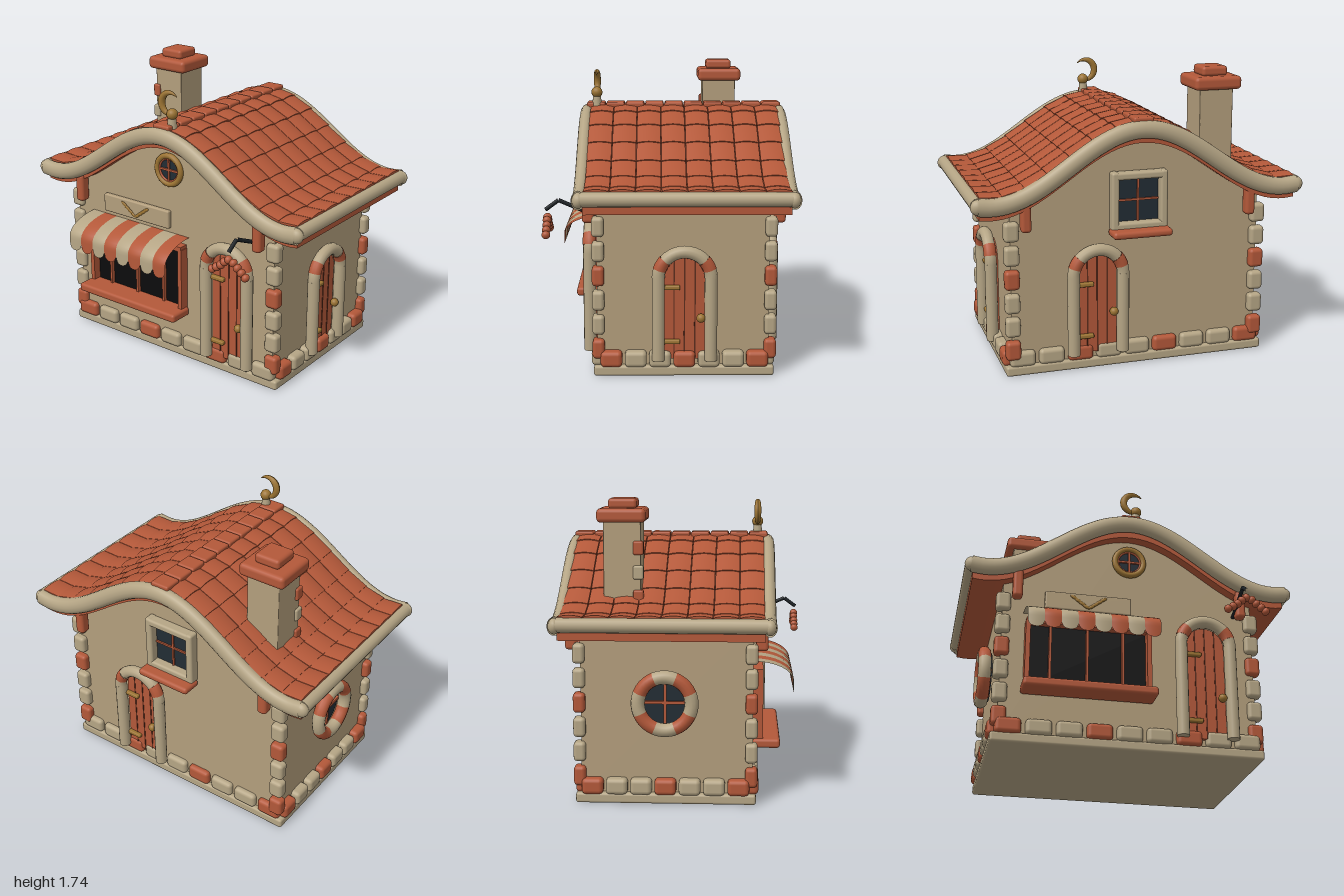
import * as THREE from 'three';
import { RoundedBoxGeometry } from 'three/addons/geometries/RoundedBoxGeometry.js';

const mat = (name, color, side = THREE.FrontSide) => {
  const m = new THREE.MeshStandardMaterial({ color, side });
  m.name = name;
  return m;
};

export function createModel() {
  const wall = mat('plaster', 0xb39e7c), stone = mat('pale stone', 0xb5a585, THREE.DoubleSide);
  const red = mat('terracotta', 0xb35839, THREE.DoubleSide), gap = mat('dark joint', 0x5c2c1c);
  const gold = mat('brass', 0x9c7433), black = mat('black', 0x0c0c0d), glass = mat('glass', 0x222c34);
  const iron = mat('iron', 0x1b2024);
  const model = new THREE.Group();
  model.name = 'cottage';
  const FRONT = 0.41, BACK = -0.575, SIDE = 0.76, MID = -0.09;

  const add = (parent, name, geo, m, x = 0, y = 0, z = 0) => {
    const mesh = new THREE.Mesh(geo, m);
    mesh.name = name;
    mesh.position.set(x, y, z);
    parent.add(mesh);
    return mesh;
  };
  const block = (p, name, m, w, h, d, x, y, z, r = 0.02) =>
    add(p, name, new RoundedBoxGeometry(w, h, d, 2, Math.min(r, w / 2.1, h / 2.1, d / 2.1)), m, x, y, z);
  const box = (p, name, m, w, h, d, x, y, z) => add(p, name, new THREE.BoxGeometry(w, h, d), m, x, y, z);
  const ball = (p, name, m, r, x, y, z) => add(p, name, new THREE.SphereGeometry(r, 16, 12), m, x, y, z);
  const group = (name, x = 0, y = 0, z = 0, ry = 0) => {
    const g = new THREE.Group();
    g.name = name;
    g.position.set(x, y, z);
    g.rotation.y = ry;
    model.add(g);
    return g;
  };
  const ringPart = (p, name, m, R, r, from, to, y, z) => {
    const t = add(p, name, new THREE.TorusGeometry(R, r, 12, Math.max(4, Math.ceil((to - from) / 10)),
      THREE.MathUtils.degToRad(to - from)), m, 0, y, z);
    t.rotation.z = THREE.MathUtils.degToRad(from);
  };

  // Swooping roof line shared by walls, tiles and trim
  const roofY = x => 1.05 + 0.195 * (1 + Math.cos(Math.PI * x / 0.88));
  const roofLine = (half, dy, n = 40) => Array.from({ length: n + 1 }, (_, i) => {
    const x = half * (2 * i / n - 1);
    return new THREE.Vector2(x, roofY(x) + dy);
  });
  const slab = (pts, z0, z1) => new THREE.ExtrudeGeometry(new THREE.Shape(pts),
    { depth: z1 - z0, bevelEnabled: false }).translate(0, 0, z0);

  // Plinth and gabled walls
  block(model, 'plinth', stone, 1.6, 0.06, 1.037, 0, 0.03, -0.088, 0.015);
  add(model, 'walls', slab([new THREE.Vector2(-SIDE, 0.04), new THREE.Vector2(SIDE, 0.04),
    ...roofLine(SIDE, -0.03).reverse()], BACK, FRONT), wall);

  // Foundation stones
  for (let i = 0; i < 9; i++) for (const z of [FRONT, BACK])
    block(model, 'foundationStone', i % 3 ? stone : red, 0.152, 0.095, 0.07, -0.7 + i * 0.175, 0.1, z, 0.025);
  for (let i = 0; i < 7; i++) for (const s of [-1, 1])
    block(model, 'foundationStone', i % 3 ? stone : red, 0.09, 0.095, 0.125, s * 0.77, 0.1, MID + (3 - i) * 0.14, 0.025);

  // Corner stones and eave brackets
  for (const s of [-1, 1]) for (const [z, out] of [[0.403, 0.46], [-0.583, -0.635]]) {
    for (let i = 0; i < 6; i++)
      block(model, 'cornerStone', i % 3 ? stone : red, 0.088, 0.115, 0.07, s * 0.755, 0.158 + i * 0.143, z, 0.022);
    block(model, 'eaveBracket', red, 0.06, 0.18, 0.07, s * 0.68, 0.97, out);
  }

  // Roof deck with dark underlay
  add(model, 'roofDeck', slab([...roofLine(0.95, -0.08), ...roofLine(0.95, 0.03).reverse()], -0.675, 0.475), red);
  add(model, 'roofUnderlay', slab([...roofLine(0.93, 0.028), ...roofLine(0.93, 0.036).reverse()], -0.67, 0.47), gap);

  // Overlapping bulged tiles, one half mirrored
  const COURSES = 7, COLS = 8;
  for (const s of [-1, 1]) {
    const half = group(s < 0 ? 'rightRoofTiles' : 'leftRoofTiles');
    half.scale.x = s;
    for (let k = 0; k < COURSES; k++) {
      const xa = 0.03 + 0.915 * k / COURSES, xb = 0.03 + 0.915 * (k + 1) / COURSES;
      const dx = xb - xa, dy = roofY(xb) - roofY(xa);
      const geo = new THREE.BoxGeometry(Math.hypot(dx, dy) * 1.04, 0.02, 0.14, 1, 1, 6);
      const p = geo.attributes.position;
      for (let i = 0; i < p.count; i++) p.setY(i, p.getY(i) + 0.01 * (1 - (p.getZ(i) / 0.07) ** 2));
      geo.computeVertexNormals();
      for (let c = 0; c < COLS; c++) {
        const t = add(half, 'roofTile', geo, red, (xa + xb) / 2, (roofY(xa) + roofY(xb)) / 2 + 0.04, -0.605 + c * 0.1437);
        t.rotation.z = Math.atan2(dy, dx) + 0.04;
      }
    }
  }
  for (let i = 0; i < 10; i++)
    block(model, 'ridgeTile', red, 0.12, 0.04, 0.114, 0, 1.49, 0.44 - i * 0.12, 0.012);

  // Rolled gable trim and eave rolls
  for (const z of [0.497, -0.687]) {
    const path = new THREE.CatmullRomCurve3(roofLine(0.96, 0, 24).map(v => new THREE.Vector3(v.x, v.y, 0)));
    const g = group('gableTrim', 0, 0, z);
    g.scale.z = 0.78;
    add(g, 'gableRoll', new THREE.TubeGeometry(path, 64, 0.052, 14), stone);
    for (const s of [-1, 1]) ball(g, 'gableRollEnd', stone, 0.045, s * 0.955, roofY(0.96), 0);
  }
  for (const s of [-1, 1])
    add(model, 'eaveRoll', new THREE.CylinderGeometry(0.042, 0.042, 1.16, 14), stone, s * 0.955, 1.063, -0.095)
      .rotation.x = Math.PI / 2;

  // Chimney
  block(model, 'chimneyShaft', wall, 0.21, 0.6, 0.215, -0.535, 1.33, -0.343, 0.005);
  block(model, 'chimneyCap', red, 0.295, 0.08, 0.28, -0.537, 1.645, -0.345, 0.025);
  block(model, 'chimneyTop', red, 0.16, 0.06, 0.165, -0.535, 1.71, -0.342, 0.02);
  [1.18, 1.32, 1.46].forEach((y, i) =>
    block(model, 'chimneyStone', i === 1 ? stone : red, 0.05, 0.08, 0.06, -0.63, y, -0.25, 0.012));

  // Crescent finial
  const finial = group('finial', 0.03, 0, 0.435);
  add(finial, 'finialPost', new THREE.CylinderGeometry(0.022, 0.03, 0.09, 12), stone, 0.01, 1.53, 0);
  ball(finial, 'finialBall', gold, 0.034, 0.012, 1.57, 0);
  const moon = new THREE.TorusGeometry(0.066, 0.02, 10, 28, 4.5), mp = moon.attributes.position;
  for (let i = 0; i < mp.count; i++) {
    const x = mp.getX(i), y = mp.getY(i), R = Math.hypot(x, y), a = (Math.atan2(y, x) + 2 * Math.PI) % (2 * Math.PI);
    const f = 0.1 + Math.sin(Math.PI * Math.min(1, a / 4.5)), R2 = 0.066 + (R - 0.066) * f;
    mp.setXYZ(i, x * R2 / R, y * R2 / R, mp.getZ(i) * f);
  }
  moon.computeVertexNormals();
  add(finial, 'crescent', moon, gold, 0, 1.63, 0).rotation.z = 0.75;

  // Arched doors: local z = 0 is the wall face
  const door = (name, x, z, ry, spring) => {
    const g = group(name, x, 0, z, ry), w = 0.118;
    const s = new THREE.Shape().moveTo(-w, 0.1).lineTo(w, 0.1).lineTo(w, spring);
    s.absarc(0, spring, w, 0, Math.PI, false);
    add(g, 'doorPanel', new THREE.ExtrudeGeometry(s, { depth: 0.025, bevelEnabled: false, curveSegments: 16 }), red);
    for (const px of [-0.06, 0, 0.06]) {
      const top = spring + Math.sqrt(w * w - px * px);
      box(g, 'plankJoint', gap, 0.008, top - 0.1, 0.004, px, (top + 0.1) / 2, 0.026);
    }
    for (const sx of [-1, 1])
      add(g, 'doorJamb', new THREE.CylinderGeometry(0.037, 0.037, spring - 0.1, 14), stone, sx * 0.15, (spring + 0.1) / 2, 0.05);
    [[0, 18], [18, 42], [42, 138], [138, 162], [162, 180]].forEach(([a, b], i) =>
      ringPart(g, 'doorArch', i % 2 ? red : stone, 0.15, i % 2 ? 0.039 : 0.037, a, b, spring, 0.05));
    for (const y of [0.205, spring - 0.06]) block(g, 'hinge', gold, 0.1, 0.026, 0.03, -0.075, y, 0.035, 0.008);
    ball(g, 'doorKnob', gold, 0.026, 0.093, 0.35, 0.055);
  };
  door('frontDoor', 0.455, FRONT, 0, 0.685);
  door('leftDoor', SIDE, MID, Math.PI / 2, 0.585);
  door('backDoor', 0.25, BACK, Math.PI, 0.585);

  // Round windows
  const disc = (p, r, y, z) => add(p, 'pane', new THREE.CircleGeometry(r, 32), glass, 0, y, z);
  const attic = group('atticWindow', 0, 0, FRONT);
  disc(attic, 0.09, 1.215, 0.008);
  ringPart(attic, 'windowRing', gold, 0.088, 0.018, 0, 360, 1.215, 0.012);
  ringPart(attic, 'innerRing', red, 0.07, 0.007, 0, 360, 1.215, 0.012);
  box(attic, 'glazingBar', red, 0.15, 0.012, 0.015, 0, 1.215, 0.012);
  box(attic, 'glazingBar', red, 0.012, 0.15, 0.015, 0, 1.215, 0.012);
  const round = group('sideWindow', -SIDE, 0, MID, -Math.PI / 2);
  disc(round, 0.15, 0.595, 0.01);
  for (let i = 0; i < 8; i++)
    ringPart(round, 'windowSurround', i % 2 ? red : stone, 0.153, 0.04, i * 45 - 22.5, i * 45 + 22.5, 0.595, 0.055);
  box(round, 'glazingBar', red, 0.26, 0.016, 0.02, 0, 0.595, 0.02);
  box(round, 'glazingBar', red, 0.016, 0.26, 0.02, 0, 0.595, 0.02);

  // Square back window
  const rear = group('backWindow', 0, 1.01, BACK, Math.PI);
  box(rear, 'pane', glass, 0.29, 0.29, 0.008, 0, 0, 0.006);
  for (const s of [-1, 1]) {
    block(rear, 'windowSide', stone, 0.045, 0.35, 0.07, s * 0.148, 0, 0.03, 0.015);
    block(rear, 'windowRail', stone, 0.34, 0.045, 0.07, 0, s * 0.15, 0.03, 0.015);
  }
  box(rear, 'glazingBar', red, 0.012, 0.27, 0.015, 0, 0, 0.012);
  box(rear, 'glazingBar', red, 0.27, 0.012, 0.015, 0, 0, 0.012);
  block(rear, 'windowSill', red, 0.36, 0.045, 0.13, 0, -0.183, 0.07);

  // Shop window
  const shop = group('shopWindow', -0.25, 0, FRONT);
  box(shop, 'shopOpening', black, 0.72, 0.4, 0.008, 0, 0.54, 0.005);
  for (const x of [-0.36, 0.36]) box(shop, 'shopPost', red, 0.028, 0.4, 0.06, x, 0.54, 0.03);
  for (const x of [-0.225, -0.006, 0.207]) box(shop, 'shopMullion', red, 0.015, 0.4, 0.03, x, 0.54, 0.018);
  box(shop, 'shopHead', red, 0.74, 0.03, 0.06, 0, 0.745, 0.03);
  block(shop, 'shopSill', red, 0.78, 0.055, 0.16, 0, 0.322, 0.08, 0.018);

  // Striped awning with scalloped hem
  for (let i = 0; i < 8; i++) {
    const geo = new THREE.PlaneGeometry(0.097, 1, 10, 14), p = geo.attributes.position;
    for (let j = 0; j < p.count; j++) {
      const t = 0.5 - p.getY(j), a = Math.min(1, t / 0.75) * Math.PI / 2, u = p.getX(j) / 0.0485;
      const drop = Math.max(0, (t - 0.75) / 0.25) * (0.04 + 0.04 * Math.sqrt(Math.max(0, 1 - u * u)));
      p.setXYZ(j, p.getX(j), 0.81 - 0.11 * (1 - Math.cos(a)) - drop, FRONT + 0.23 * Math.sin(a) + 0.008 * (1 - u * u) * t);
    }
    geo.computeVertexNormals();
    add(model, 'awningStripe', geo, i % 2 ? red : stone, -0.587 + i * 0.097);
  }

  // Sign board with a plain leaf ornament
  block(model, 'signBoard', wall, 0.52, 0.115, 0.035, -0.253, 0.9, FRONT + 0.018, 0.01);
  for (let i = 0; i < 4; i++) for (const s of [-1, 1]) {
    const leaf = ball(model, 'signLeaf', gold, 0.02, -0.253 + s * (0.015 + i * 0.024), 0.872 + i * 0.018, FRONT + 0.038);
    leaf.scale.set(1.3, 0.5, 0.3);
    leaf.rotation.z = s * 0.5;
  }

  // Hook with a garland of sausages
  const v = (x, y, z) => new THREE.Vector3(x, y, z);
  const rod = (a, b) => add(model, 'hookRod', new THREE.TubeGeometry(new THREE.LineCurve3(a, b), 1, 0.012, 8), iron);
  rod(v(0.65, 0.91, 0.41), v(0.65, 1.005, 0.63));
  rod(v(0.65, 1.005, 0.63), v(0.65, 0.95, 0.705));
  const string = new THREE.CatmullRomCurve3([v(0.53, 0.82, 0.695), v(0.585, 0.855, 0.695), v(0.65, 0.905, 0.695),
    v(0.71, 0.865, 0.695), v(0.76, 0.825, 0.695)]);
  for (let i = 0; i < 9; i++) {
    const q = string.getPointAt(i / 8), d = string.getTangentAt(i / 8);
    const link = ball(model, 'sausage', red, 0.025, q.x, q.y, q.z);
    link.scale.x = 0.9;
    link.rotation.z = Math.atan2(d.y, d.x);
  }
  return model;
}
